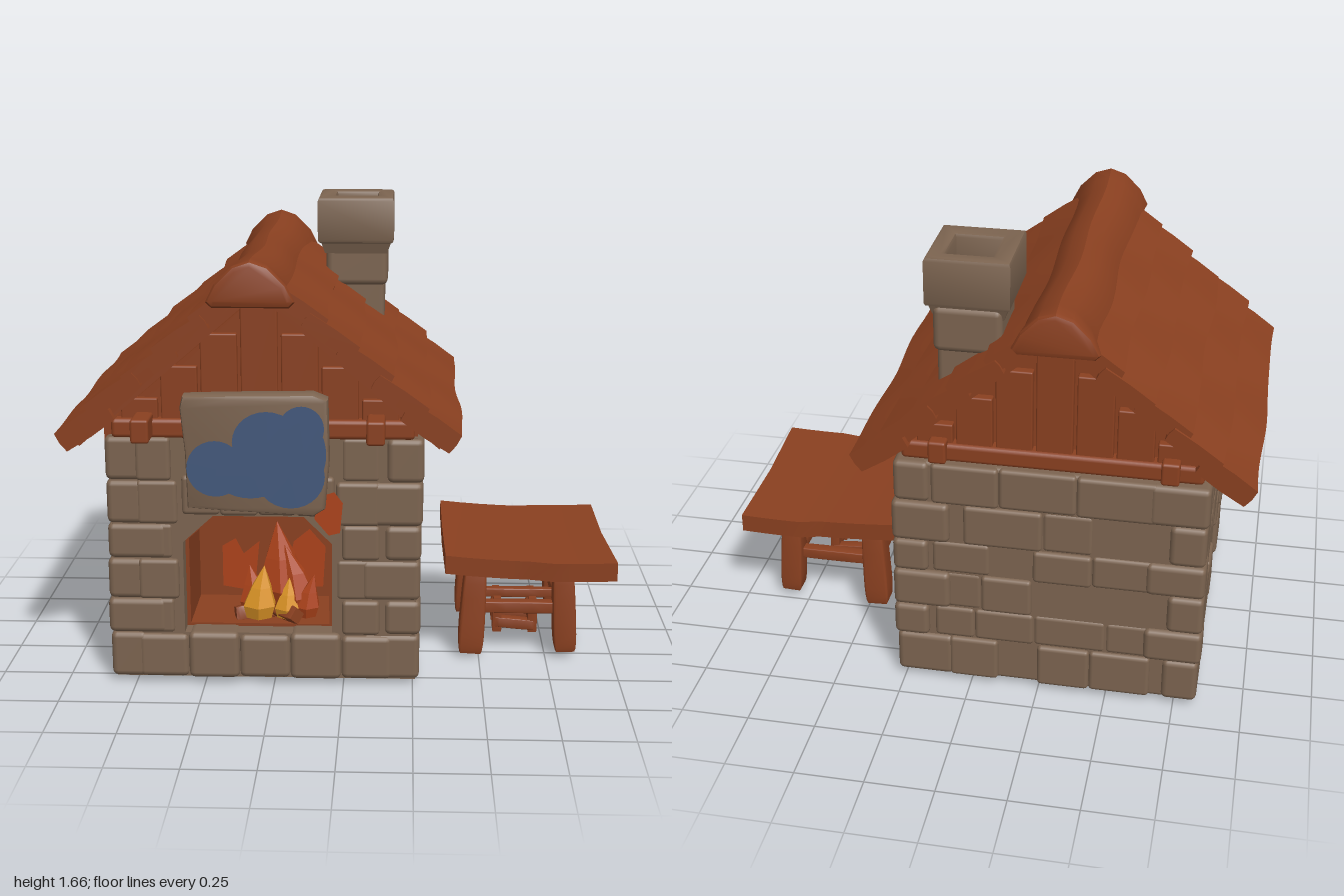
import * as THREE from 'three';
import { toCreasedNormals } from 'three/addons/utils/BufferGeometryUtils.js';
import { RoundedBoxGeometry } from 'three/addons/geometries/RoundedBoxGeometry.js';

const mat = (name, color) => {
  const m = new THREE.MeshStandardMaterial({ color });
  m.name = name;
  return m;
};
const V2 = (p) => new THREE.Vector2(p[0], p[1]);

export function createModel() {
  const root = new THREE.Group();
  root.name = 'stoneCottage';
  const stone = mat('stone', 0x7c6450);
  const wood = mat('wood', 0x8a4020);
  const blue = mat('blue paint', 0x43587c);
  const ember = mat('ember red', 0xac421a);
  const gold = mat('flame gold', 0xdc9426);

  let seed = 11;
  const rnd = () => (seed = (seed * 16807) % 2147483647) / 2147483647;

  function add(name, geo, material, parent = root) {
    const m = new THREE.Mesh(geo, material);
    m.name = name;
    parent.add(m);
    return m;
  }
  function group(name) {
    const g = new THREE.Group();
    g.name = name;
    root.add(g);
    return g;
  }
  // Moves each vertex by a rule (x, y, z) => [x, y, z]
  function bend(geo, rule) {
    const p = geo.attributes.position;
    for (let i = 0; i < p.count; i++) p.setXYZ(i, ...rule(p.getX(i), p.getY(i), p.getZ(i)));
    return toCreasedNormals(geo, 0.6);
  }
  // Block given by its limits, with softened edges
  function block(name, x0, x1, y0, y1, z0, z1, material, parent, r = 0.016) {
    const m = add(name, new RoundedBoxGeometry(x1 - x0, y1 - y0, z1 - z0, 2, r), material, parent);
    m.position.set((x0 + x1) / 2, (y0 + y1) / 2, (z0 + z1) / 2);
    return m;
  }
  function extrude(points, z0, z1, hole, bevel = 0) {
    const s = new THREE.Shape(points.map(V2));
    if (hole) s.holes.push(new THREE.Path(hole.map(V2)));
    const g = new THREE.ExtrudeGeometry(s, {
      depth: z1 - z0 - 2 * bevel, bevelEnabled: bevel > 0, bevelSize: bevel,
      bevelThickness: bevel, bevelOffset: -bevel, bevelSegments: 2,
    });
    g.translate(0, 0, z0 + bevel);
    return toCreasedNormals(g, 0.6);
  }
  // Tapering beam between two points
  function beam(name, a, b, w0, w1, parent) {
    const A = new THREE.Vector3(...a), B = new THREE.Vector3(...b);
    const len = A.distanceTo(B);
    const g = bend(new RoundedBoxGeometry(1, len, 1, 2, 0.12), (x, y, z) => {
      const w = w0 + (w1 - w0) * (y / len + 0.5);
      return [x * w, y, z * w];
    });
    const m = add(name, g, wood, parent);
    m.position.copy(A).add(B).multiplyScalar(0.5);
    m.quaternion.setFromUnitVectors(new THREE.Vector3(0, 1, 0), B.sub(A).normalize());
    return m;
  }

  // Walls with the fireplace opening
  const walls = group('walls');
  const opening = [[-0.57, 0.19], [-0.04, 0.19], [-0.04, 0.53], [-0.14, 0.63], [-0.46, 0.63], [-0.57, 0.53]];
  block('mainWall', -0.82, 0.26, 0.02, 0.92, -0.63, 0.2, stone, walls);
  add('frontWall', extrude([[-0.82, 0.02], [0.26, 0.02], [0.26, 0.92], [-0.82, 0.92]], 0.19, 0.565, opening), stone, walls);
  const inset = opening.map(([x, y]) => [-0.305 + (x + 0.305) * 0.95, 0.41 + (y - 0.41) * 0.95]);
  add('fireplaceLining', extrude(opening, 0.2, 0.5, inset), wood, walls);
  block('fireplaceBack', -0.57, -0.04, 0.19, 0.63, 0.19, 0.215, wood, walls, 0.002);

  // Corner stones and courses
  const rows = [0.02, 0.19, 0.32, 0.47, 0.6, 0.76, 0.92];
  const stones = group('wallStones');
  for (let r = 0; r < 6; r++) {
    const y0 = rows[r], y1 = rows[r + 1];
    for (const sx of [-1, 1]) for (const sz of [-1, 1]) {
      const o = 0.013 + rnd() * 0.012;
      const lx = (r + (sx > 0)) % 2 ? 0.21 : 0.13, lz = r % 2 ? 0.13 : 0.24;
      const xe = sx > 0 ? 0.26 + o : -0.82 - o, ze = sz > 0 ? 0.56 + o : -0.63 - o;
      block('cornerStone', Math.min(xe, xe - sx * lx), Math.max(xe, xe - sx * lx), y0, y1,
        Math.min(ze, ze - sz * lz), Math.max(ze, ze - sz * lz), stone, stones, 0.022);
    }
    for (const sx of [-1, 1]) {
      for (let z = -0.45; z < 0.34;) {
        const w = 0.13 + rnd() * 0.16, o = 0.003 + rnd() * 0.012, x = sx > 0 ? 0.26 : -0.82;
        if (rnd() < 0.6) block('sideStone', x - (sx > 0 ? 0.06 : o), x + (sx > 0 ? o : 0.06), y0, y1, z, Math.min(z + w, 0.4), stone, stones);
        z += w;
      }
    }
    for (let x = -0.66; x < 0.08;) {
      const w = 0.13 + rnd() * 0.16, o = 0.004 + rnd() * 0.014;
      if (rnd() < 0.7) block('backStone', x, Math.min(x + w, 0.14), y0, y1, -0.63 - o, -0.57, stone, stones);
      x += w;
    }
    if (r > 0) {
      block('frontStone', -0.73, -0.585 - (r % 2) * 0.02, y0, y1, 0.5, 0.572 + (r % 3) * 0.006, stone, stones);
      block('frontStone', -0.025 + (r % 2) * 0.02, 0.13, y0, y1, 0.5, 0.57 + ((r + 1) % 3) * 0.006, stone, stones);
    }
  }
  for (let i = 0; i < 5; i++) block('hearthStone', -0.74 + i * 0.183, -0.557 + i * 0.183, 0.02, 0.185 + (i % 2) * 0.01, 0.48, 0.58 + (i % 2) * 0.008, stone, stones, 0.022);
  for (let i = 0; i < 4; i++) block('lintelStone', -0.57 + i * 0.135, -0.435 + i * 0.135, 0.635, 0.78, 0.5, 0.578 + (i % 2) * 0.008, stone, stones);

  // Scorch mark above the opening
  const flat = (name, pts, z, m) => {
    const g = new THREE.ShapeGeometry(new THREE.Shape(pts.map(V2)));
    g.translate(0, 0, z);
    return add(name, g, m);
  };
  flat('scorchMark', [[-0.1, 0.63], [-0.05, 0.57], [-0.01, 0.58], [0, 0.69], [-0.03, 0.73], [-0.09, 0.71]], 0.59, ember);
  flat('fireGlow', [[-0.47, 0.24], [-0.35, 0.22], [-0.33, 0.42], [-0.39, 0.37], [-0.42, 0.43], [-0.47, 0.4]], 0.218, ember);
  flat('fireGlow', [[-0.24, 0.24], [-0.09, 0.24], [-0.08, 0.4], [-0.14, 0.47], [-0.2, 0.42]], 0.218, ember);

  // Gables with slats, tie beams and pegs
  const cx = -0.29;
  const gable = group('gables');
  add('gableWall', extrude([[cx - 0.55, 0.9], [cx + 0.55, 0.9], [cx + 0.55, 0.95], [cx, 1.42], [cx - 0.55, 0.95]], -0.56, 0.54), wood, gable);
  for (const s of [-1, 1]) {
    const z = s > 0 ? 0.55 : -0.57;
    for (let i = -3; i <= 3; i++) {
      const h = 1.4 - Math.abs(i) * 0.115;
      block('gableSlat', cx + i * 0.14 - 0.064, cx + i * 0.14 + 0.064, 0.93, h, z - 0.025, z + 0.012, wood, gable, 0.006);
    }
    block('tieBeam', -0.81, 0.25, 0.915, 0.985, z - 0.04, z + 0.03, wood, gable);
    for (const x of [-0.695, 0.115]) block('beamPeg', x - 0.032, x + 0.032, 0.92, 1.005, s > 0 ? 0.5 : -0.64, s > 0 ? 0.675 : -0.5, wood, gable, 0.01);
  }

  // Roof: overlapping wavy planks on each slope
  const roof = group('roof');
  const a = 0.71, ca = Math.cos(a), sa = Math.sin(a);
  for (const s of [-1, 1]) {
    const place = (m, t, depth, tilt) => {
      m.position.set(cx + s * (0.71 - t * ca - depth * sa), 0.95 + t * sa - depth * ca, -0.015);
      m.rotation.z = -s * (a - tilt);
    };
    place(add('roofBoard', new THREE.BoxGeometry(0.88, 0.045, 1.26), wood, roof), 0.47, 0.075, 0);
    for (let i = 0; i < 5; i++) {
      const th = i ? 0.062 : 0.085, ph = rnd() * 6, len = 0.21;
      const g = bend(new RoundedBoxGeometry(len, th, 1.32 + (i % 2) * 0.02, 3, 0.015), (x, y, z) => [x, y, z]);
      const wavy = new THREE.BoxGeometry(len, th, 1.31 + (i % 2) * 0.02, 2, 2, 22);
      g.dispose();
      const plank = bend(wavy, (x, y, z) => {
        const edge = Math.abs(x) > len * 0.4 && Math.abs(y) > th * 0.4 ? 0.9 : 1;
        return [x * (edge < 1 ? 0.97 : 1.01) + 0.007 * Math.sin(z * 7 + ph), y * edge + 0.004 * Math.sin(z * 11 + ph * 2) + 0.008 * (z * z - 0.2), z];
      });
      place(add('roofPlank', plank, wood, roof), i * 0.155 + 0.1, th / 2 + 0.012, 0.11);
    }
  }

  // Ridge cap, sagging in the middle and flared at its ends
  const ridge = new THREE.Shape([[-0.15, 1.42], [-0.13, 1.4], [0.13, 1.4], [0.15, 1.42], [0.12, 1.48], [0.06, 1.54], [0, 1.56], [-0.06, 1.54], [-0.12, 1.48]].map(V2));
  const ridgeGeo = new THREE.ExtrudeGeometry(ridge, { depth: 1.38, steps: 16, bevelSize: 0.02, bevelThickness: 0.02, bevelOffset: -0.02, bevelSegments: 2 });
  add('ridgeCap', bend(ridgeGeo, (x, y, z) => {
    z -= 0.69;
    const k = Math.abs(z) > 0.62 ? 1 : 0.9;
    return [cx - 0.015 + x * k + 0.006 * Math.sin(z * 9), y - 0.028 * (1 - (z / 0.71) ** 2), z];
  }), wood, roof);

  // Chimney with a hollow cap
  const chimney = group('chimney');
  block('chimneyShaft', -0.085, 0.13, 1.05, 1.35, -0.535, -0.305, stone, chimney, 0.02);
  block('chimneyShaft', -0.1, 0.142, 1.31, 1.48, -0.55, -0.29, stone, chimney, 0.025);
  const rect = (x0, x1, y0, y1) => [[x0, y0], [x1, y0], [x1, y1], [x0, y1]];
  const cap = add('chimneyCap', extrude(rect(-0.13, 0.165, 0.25, 0.56), 1.48, 1.66, rect(-0.06, 0.1, 0.33, 0.5), 0.015), stone, chimney);
  cap.rotation.x = -Math.PI / 2;
  const collar = new THREE.CylinderGeometry(0.2, 0.172, 0.06, 4);
  collar.rotateY(Math.PI / 4);
  add('chimneyCollar', toCreasedNormals(collar, 0.6), stone, chimney).position.set(0.018, 1.468, -0.408);
  block('chimneyFlue', -0.07, 0.11, 1.495, 1.503, -0.51, -0.32, blue, chimney, 0.001);
  block('flueEmber', -0.06, -0.03, 1.5, 1.507, -0.46, -0.36, ember, chimney, 0.001);

  // Hanging sign with painted clouds
  add('signBoard', extrude([[-0.54, 0.68], [-0.4, 0.67], [-0.1, 0.655], [-0.06, 0.68], [-0.045, 0.85], [-0.05, 1.07], [-0.1, 1.09], [-0.4, 1.085], [-0.55, 1.08], [-0.56, 1.04], [-0.545, 0.88]], 0.56, 0.64, null, 0.014), stone);
  [[-0.44, 0.825, 0.1, 0.1], [-0.32, 0.8, 0.12, 0.08], [-0.18, 0.8, 0.12, 0.115], [-0.26, 0.92, 0.12, 0.11], [-0.14, 0.97, 0.078, 0.08], [-0.13, 0.88, 0.075, 0.12]].forEach(([x, y, rx, ry], i) => {
    const m = add('paintedCloud', new THREE.CircleGeometry(1, 28), blue);
    m.scale.set(rx, ry, 1);
    m.position.set(x, y, 0.6415 + i * 0.0003);
  });

  // Fire: logs and leaning faceted flames
  const fire = group('fire');
  beam('fireLog', [-0.4, 0.215, 0.44], [-0.13, 0.225, 0.36], 0.06, 0.05, fire);
  beam('fireLog', [-0.33, 0.22, 0.32], [-0.17, 0.23, 0.5], 0.05, 0.06, fire);
  const flame = (x, z, r, h, lean, m) => {
    const pts = [[0, 0], [0.8, 0.08], [1, 0.3], [0.6, 0.62], [0, 1]].map(([u, v]) => new THREE.Vector2(u * r, v * h));
    const g = new THREE.LatheGeometry(pts, 6).toNonIndexed();
    const f = add('flame', bend(g, (px, py, pz) => [px + lean * (py / h) ** 2, py, pz]), m, fire);
    f.geometry.computeVertexNormals();
    f.position.set(x, 0.2, z);
  };
  flame(-0.23, 0.37, 0.1, 0.35, -0.02, ember);
  flame(-0.17, 0.4, 0.075, 0.27, -0.05, ember);
  flame(-0.33, 0.4, 0.06, 0.19, -0.02, ember);
  flame(-0.14, 0.44, 0.05, 0.17, 0.03, ember);
  flame(-0.31, 0.46, 0.065, 0.21, 0.02, gold);
  flame(-0.21, 0.45, 0.05, 0.16, 0.01, gold);

  // Table
  const table = group('table');
  const top = bend(new THREE.BoxGeometry(0.62, 0.07, 0.69, 8, 1, 2), (x, y, z) => [
    0.675 + x + (z > 0.3 ? 0.01 : -0.01) * (x > 0 ? 1 : 0.3), 0.372 + y - 0.025 * x + 0.12 * x * x, 0.04 + z * (x > 0 ? 1.03 : 0.98)]);
  add('tableTop', top, wood, table);
  for (const [z, zf] of [[0.25, 0.265], [-0.18, -0.195]]) {
    beam('tableLeg', [0.468, z > 0 ? 0.01 : 0, zf], [0.485, 0.35, z], 0.1, 0.085, table);
    beam('tableLeg', [0.825, 0.02, zf], [0.81, 0.35, z], 0.09, 0.08, table);
    beam('tableStretcher', [0.48, 0.185, z], [0.82, 0.185, z], 0.045, 0.045, table);
  }
  for (const x of [0.485, 0.81]) beam('tableStretcher', [x, 0.175, -0.19], [x, 0.175, 0.26], 0.045, 0.045, table);

  // Small stool under the table
  const stool = group('stool');
  for (const x of [0.575, 0.71]) {
    for (const z of [0.03, 0.145]) beam('stoolLeg', [x, 0.045, z], [x, 0.18, z], 0.038, 0.032, stool);
    beam('stoolRail', [x, 0.09, 0.02], [x, 0.075, 0.155], 0.03, 0.03, stool);
  }
  for (const z of [0.03, 0.145]) beam('stoolRail', [0.56, 0.085, z], [0.725, 0.07, z], 0.04, 0.04, stool);
  beam('stoolBar', [0.49, 0.18, 0.085], [0.81, 0.18, 0.085], 0.035, 0.035, stool);
  return root;
}
